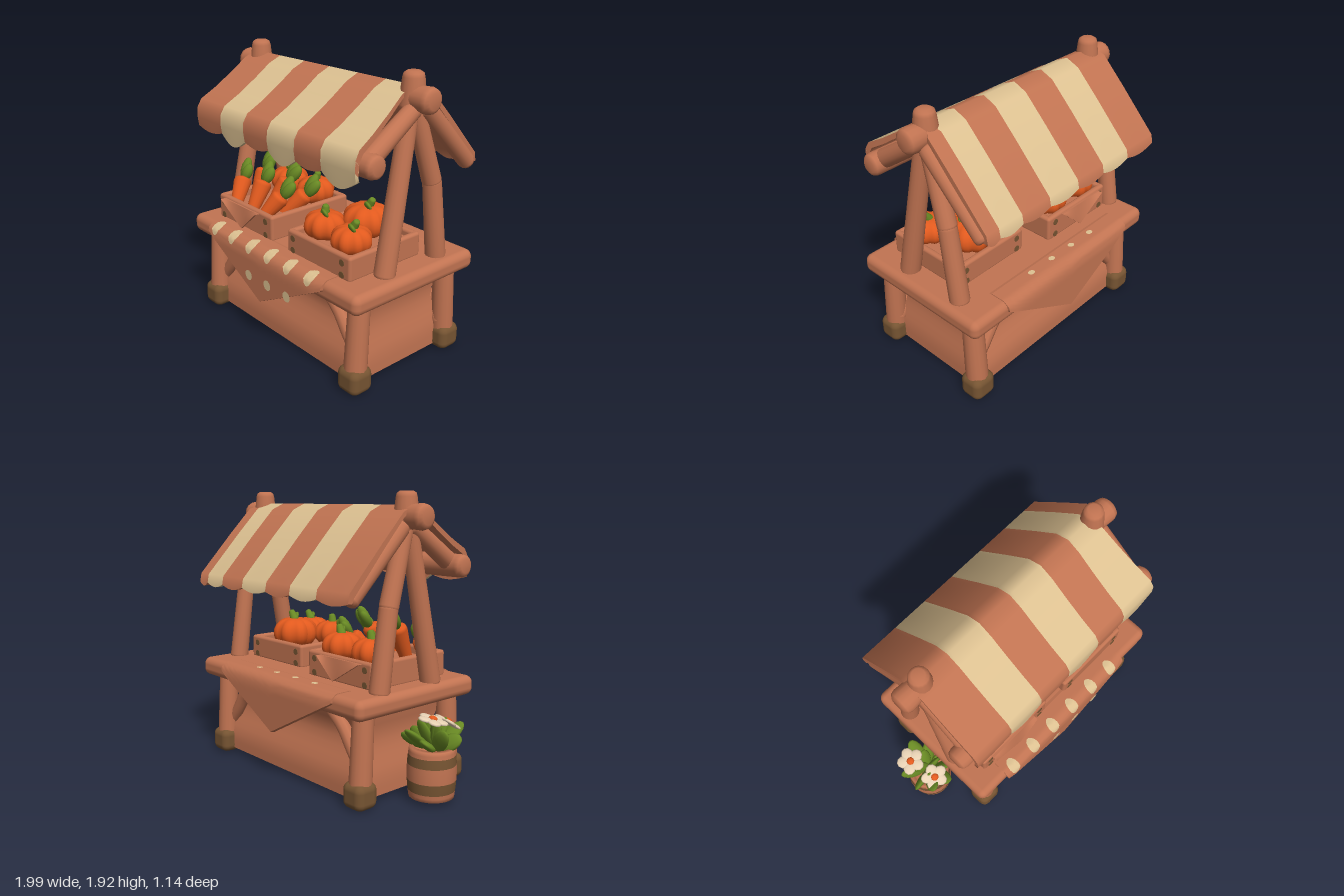
import * as THREE from 'three';
import { RoundedBoxGeometry } from 'three/addons/geometries/RoundedBoxGeometry.js';

const V = (p) => new THREE.Vector3(...p);
const UP = new THREE.Vector3(0, 1, 0);
const { lerp, smoothstep, clamp } = THREE.MathUtils;

export function createModel() {
  const root = new THREE.Group();
  const material = (name, color) => {
    const m = new THREE.MeshStandardMaterial({ color, side: THREE.DoubleSide });
    m.name = name;
    return m;
  };
  const wood = material('terracotta', 0xc27452);
  const cream = material('cream', 0xdec292);
  const petalMat = material('petal', 0xe8d2b4);
  const orange = material('orange', 0xe25a1e);
  const green = material('green', 0x698a24);
  const brown = material('brown', 0x765432);

  const add = (name, geo, mat, pos = [0, 0, 0], parent = root) => {
    const m = new THREE.Mesh(geo, mat);
    m.name = name;
    m.position.set(...pos);
    parent.add(m);
    return m;
  };
  const box = (name, mat, min, max, r = 0.02) => add(name,
    new RoundedBoxGeometry(max[0] - min[0], max[1] - min[1], max[2] - min[2], 3, r), mat,
    min.map((v, i) => (v + max[i]) / 2));

  // straight round timber with softened ends
  const limb = (name, mat, a, b, r0, r1 = r0) => {
    const h = V(a).distanceTo(V(b));
    const pts = [[0, 0], [r0 * 0.6, 0], [r0 * 0.9, r0 * 0.2], [r0, r0 * 0.55], [r1, h - r1 * 0.55],
      [r1 * 0.9, h - r1 * 0.2], [r1 * 0.6, h], [0, h]].map((p) => new THREE.Vector2(...p));
    const m = add(name, new THREE.LatheGeometry(pts, 16), mat, a);
    m.quaternion.setFromUnitVectors(UP, V(b).sub(V(a)).normalize());
    return m;
  };

  // open surface from a rule fn(u, v) -> [x, y, z]
  const sheet = (name, mat, nu, nv, fn) => {
    const pos = [], idx = [];
    for (let j = 0; j <= nv; j++) for (let i = 0; i <= nu; i++) pos.push(...fn(i / nu, j / nv));
    for (let j = 0; j < nv; j++) for (let i = 0; i < nu; i++) {
      const a = j * (nu + 1) + i, c = a + nu + 1;
      idx.push(a, c, a + 1, a + 1, c, c + 1);
    }
    const g = new THREE.BufferGeometry();
    g.setAttribute('position', new THREE.Float32BufferAttribute(pos, 3));
    g.setIndex(idx);
    g.computeVertexNormals();
    return add(name, g, mat);
  };

  // thick cloth: outer face, inner face and a rim joining them; fn(u, v, depth 0..1)
  const shell = (name, mat, innerMat, n, fn) => {
    sheet(name, mat, n, n, (u, v) => fn(u, v, 0));
    sheet(name + 'Lining', innerMat, n, n, (u, v) => fn(1 - u, v, 1));
    sheet(name + 'Rim', mat, 4 * n, 1, (t, d) => {
      const p = t * 4;
      return fn(clamp(p, 0, 1) - clamp(p - 2, 0, 1), clamp(p - 1, 0, 1) - clamp(p - 3, 0, 1), d);
    });
  };

  // base cabinet: leans in above the floor, then flares out under the counter
  const body = new THREE.BoxGeometry(1.46, 0.57, 0.8, 4, 10, 4);
  const bp = body.attributes.position;
  for (let i = 0; i < bp.count; i++) {
    const y = bp.getY(i);
    const t = smoothstep(y, -0.2, 0.08) - 0.7 * smoothstep(y, 0.1, 0.285);
    bp.setX(i, bp.getX(i) * (1 - 0.06 * t));
    bp.setZ(i, bp.getZ(i) * (1 - 0.2 * t));
  }
  body.computeVertexNormals();
  add('cabinet', body, wood, [0.125, 0.315, 0]);

  // legs, feet and braces
  for (const x of [-0.61, 0.86]) for (const z of [-0.4, 0.41]) {
    limb('leg', wood, [x, 0.05, z], [x, 0.64, z * 0.93], 0.075, 0.068);
    box('foot', brown, [x - 0.088, 0, z - 0.085], [x + 0.088, 0.17, z + 0.085], 0.05);
    const s = x < 0 ? 1 : -1, zb = z * 0.9;
    const curve = new THREE.CatmullRomCurve3([[x, 0.2, zb], [x + s * 0.1, 0.33, zb], [x + s * 0.2, 0.47, zb], [x + s * 0.36, 0.6, zb]].map(V));
    add('brace', new THREE.TubeGeometry(curve, 12, 0.045, 10), wood);
  }

  // counter
  box('counter', wood, [-0.735, 0.58, -0.525], [0.985, 0.712, 0.53], 0.05);

  // spotted cloth hanging over both long edges, addressed by x and length s along its fall
  const fall = [[0.40, 0.717], [0.505, 0.717], [0.55, 0.685], [0.562, 0.63], [0.564, 0.3]];
  const drape = (x, s, side, lift = 0) => {
    let k = 0, len;
    for (; ; k++) {
      len = Math.hypot(fall[k + 1][0] - fall[k][0], fall[k + 1][1] - fall[k][1]);
      if (s <= len || k === fall.length - 2) break;
      s -= len;
    }
    const t = s / len;
    const z = lerp(fall[k][0], fall[k + 1][0], t) + lift;
    const y = lerp(fall[k][1], fall[k + 1][1], t) + Math.max(lift, -0.008);
    return [x, y, side > 0 ? z : 0.012 - z];
  };
  const spot = (x, s, rx, rs, side) => sheet('clothSpot', cream, 14, 4, (u, v) =>
    drape(x + Math.cos(u * Math.PI * 2) * rx * v, s + Math.sin(u * Math.PI * 2) * rs * v, side, 0.004));
  for (const side of [1, -1]) {
    shell('cloth', wood, wood, 20, (u, v, d) => {
      const bottom = 0.345 + 0.315 * Math.abs(u - 0.5) * 2;
      return drape(-0.5 + 1.2 * u, v * (0.215 + 0.63 - bottom), side, -0.03 * d);
    });
    for (let i = 0; i < 6; i++) {
      const x = -0.42 + i * 0.2;
      if (side > 0) spot(x, 0.128, 0.04, 0.072, 1);
      else if (i > 0 && i < 5) spot(x, 0.04, 0.025, 0.02, -1);
      if (side > 0 && i > 1 && i < 5) spot(x + 0.01, 0.35, 0.036, 0.036, 1);
    }
  }

  // A-frame posts, rafters and beam ends
  for (const [x, top, end] of [[-0.645, -0.62, -0.8], [0.865, 0.83, 1.0]]) {
    limb('frontPost', wood, [x, 0.68, 0.19], [top, 1.8, -0.03], 0.068, 0.055);
    limb('rearPost', wood, [x, 0.68, -0.28], [x, 1.25, -0.2], 0.066, 0.06);
    limb('rearPostTop', wood, [x, 1.2, -0.21], [top, 1.8, -0.02], 0.062, 0.055);
    limb('ridgeKnob', wood, [top, 1.68, -0.035], [top, 1.92, -0.035], 0.085, 0.066);
    limb('frontRafter', wood, [x, 1.72, -0.03], [x, 1.45, 0.37], 0.055, 0.062);
    limb('rearRafter', wood, [x + 0.01, 1.72, -0.08], [x + 0.01, 1.275, -0.525], 0.06, 0.055);
    limb('ridgeBeamEnd', wood, [top * 0.96, 1.765, -0.035], [end, 1.765, -0.035], 0.072, 0.082);
  }
  limb('ridgeBeam', wood, [-0.7, 1.745, -0.035], [0.9, 1.745, -0.035], 0.055);
  limb('frontBeam', wood, [-0.77, 1.45, 0.36], [0.965, 1.45, 0.36], 0.075);

  // striped awning from the back hem over the ridge to the scalloped front hem
  const slope = [[-0.572, 1.285], [-0.56, 1.345], [-0.3, 1.622], [-0.13, 1.795], [-0.035, 1.836], [0.06, 1.795], [0.18, 1.71],
    [0.32, 1.62], [0.44, 1.555], [0.474, 1.5], [0.477, 1.43], [0.468, 1.37]];
  const last = slope.length - 1;
  const rightEdge = (z) => (z < -0.1 ? 0.9 : 0.825 + 0.15 * Math.max(z, 0));
  const creamEdge = (z) => (z < -0.1 ? 0.8 : rightEdge(z));
  const strip = (name, mat, left, right, drop) => shell(name, mat, wood, last, (u, v, d) => {
    const k = Math.round(v * last), [z, y] = slope[k];
    const sag = k === last ? drop : k === 0 ? 0.025 : 0;
    const thick = k === last || k === 0 ? 0 : 0.03;
    return [lerp(left(z), right(z), u), y - sag * Math.sin(Math.PI * u) - thick * d, z * (1 - 0.06 * d)];
  });
  const edges = [-0.69, -0.405, -0.145, 0.105, 0.37, 0.61].map((x) => () => x).concat(creamEdge);
  for (let i = 0; i < 6; i++) {
    strip('awningStripe', i % 2 ? cream : wood, edges[i], edges[i + 1], i % 2 ? 0.065 : 0.025);
  }
  strip('awningRearEdge', wood, creamEdge, rightEdge, 0);

  // crates with corner nails
  const crate = (x0, x1, z0, z1, h) => {
    const y = 0.7, t = 0.045;
    box('crateFloor', wood, [x0 + 0.02, y, z0 + 0.02], [x1 - 0.02, y + 0.12, z1 - 0.02]);
    for (const z of [z0, z1 - t]) box('crateLongWall', wood, [x0, y, z], [x1, h, z + t]);
    for (const x of [x0, x1 - t]) box('crateEndWall', wood, [x, y, z0], [x + t, h, z1]);
    const nail = new THREE.CylinderGeometry(0.022, 0.022, 0.008, 10);
    for (const ny of [0.735, h - 0.05]) for (const nx of [x0 + 0.06, x1 - 0.07]) for (const z of [z0, z1]) {
      add('crateNail', nail, brown, [nx, ny, z]).rotation.x = Math.PI / 2;
    }
  };
  crate(-0.58, 0.035, -0.28, 0.4, 0.88);
  crate(0.21, 0.8, -0.2, 0.41, 0.865);
  for (const side of [1, -1]) {
    shell('crateNapkin', wood, wood, 10, (u, v, d) => [-0.5 + 0.4 * u,
      0.865 - v * 0.145 * (1 - Math.abs(u - 0.6) / (u < 0.6 ? 0.6 : 0.4)),
      (side > 0 ? 0.412 : -0.292) + side * (0.03 * v - 0.015 * d)]);
  }

  // flattened leaf pointing from a to b
  const leaf = (name, a, b, w, flat = 0.45) => {
    const d = V(b).sub(V(a)), m = add(name, new THREE.SphereGeometry(1, 10, 8), green, V(a).addScaledVector(d, 0.5).toArray());
    m.scale.set(w, d.length() / 2, w * flat);
    m.quaternion.setFromUnitVectors(UP, d.normalize());
  };

  // pumpkins: squashed spheres with ribs
  const pumpkin = (x, y, z, r, lean) => {
    const g = new THREE.SphereGeometry(r, 40, 14);
    const p = g.attributes.position;
    for (let i = 0; i < p.count; i++) {
      const a = Math.atan2(p.getZ(i), p.getX(i)), w = Math.hypot(p.getX(i), p.getZ(i)) / r;
      const k = 1 - 0.14 * (1 - Math.abs(Math.sin(a * 4)));
      p.setXYZ(i, p.getX(i) * k, p.getY(i) * (0.6 + 0.18 * w), p.getZ(i) * k);
    }
    g.computeVertexNormals();
    add('pumpkin', g, orange, [x, y, z]);
    const top = y + r * 0.6;
    limb('pumpkinStem', green, [x, top - 0.02, z], [x + lean, top + 0.055, z], 0.032, 0.022);
    leaf('pumpkinLeaf', [x, top, z + 0.01], [x + 0.07, top + 0.02, z + 0.05], 0.035);
  };
  pumpkin(0.36, 0.89, 0.22, 0.14, 0.01);
  pumpkin(0.63, 0.885, 0.24, 0.135, 0.05);
  pumpkin(0.5, 0.905, -0.02, 0.165, 0.05);
  pumpkin(-0.42, 0.91, -0.12, 0.14, 0.02);
  pumpkin(-0.13, 0.91, -0.12, 0.14, 0.03);

  // carrots leaning back in the crate: bottom x, top x, top y, top z
  for (const [x0, x1, y, z] of [[-0.46, -0.53, 0.97, 0.22], [-0.38, -0.4, 1.05, 0.12], [-0.3, -0.31, 1.0, 0.2],
    [-0.24, -0.16, 1.03, 0.1], [-0.17, -0.08, 0.96, 0.22], [-0.14, -0.03, 0.95, 0.05]]) {
    limb('carrot', orange, [x0, 0.78, z + 0.13], [x1, y, z], 0.04, 0.064);
    for (const s of [-1, 0, 1]) {
      leaf('carrotTop', [x1, y - 0.02, z], [x1 + s * 0.06 + (x1 - x0) * 0.3, y + 0.13 - Math.abs(s) * 0.03, z - 0.07 + s * 0.03], 0.042, 0.85);
    }
  }

  // banded barrel pot
  const potX = -0.81, potZ = 0.03;
  const potR = (y) => 0.145 + 0.013 * Math.sin(Math.PI * (y - 0.03) / 0.32);
  const bands = [0.03, 0.075, 0.145, 0.245, 0.305, 0.35];
  for (let i = 0; i < 5; i++) {
    const pts = [0, 0.5, 1].map((t) => lerp(bands[i], bands[i + 1], t)).map((y) => new THREE.Vector2(potR(y), y));
    if (i === 0) pts.unshift(new THREE.Vector2(0, 0.025), new THREE.Vector2(0.13, 0.025));
    if (i === 4) pts.push(new THREE.Vector2(0.12, 0.355), new THREE.Vector2(0.11, 0.32), new THREE.Vector2(0, 0.32));
    add(i % 2 ? 'potBand' : 'pot', new THREE.LatheGeometry(pts, 24), i % 2 ? brown : wood, [potX, 0, potZ]);
  }

  // pot plant
  for (let i = 0; i < 9; i++) {
    const a = i * Math.PI * 2 / 9, c = Math.cos(a), s = Math.sin(a);
    leaf('plantLeaf', [potX + c * 0.03, 0.34, potZ + s * 0.03],
      [potX + c * 0.185, 0.43 + 0.06 * (i % 2), potZ + s * 0.21], 0.055);
  }
  for (let i = 0; i < 4; i++) {
    const a = i * Math.PI / 2 + 0.5;
    leaf('plantLeaf', [potX, 0.34, potZ], [potX + Math.cos(a) * 0.09, 0.53, potZ + Math.sin(a) * 0.09], 0.048);
  }

  // five-petal flowers
  const flower = (pos, dir) => {
    const f = new THREE.Group();
    f.name = 'flower';
    f.position.set(...pos);
    f.quaternion.setFromUnitVectors(UP, V(dir).normalize());
    root.add(f);
    for (let i = 0; i < 5; i++) {
      const a = i * Math.PI * 2 / 5;
      const m = add('petal', new THREE.SphereGeometry(1, 10, 6), petalMat, [Math.cos(a) * 0.05, 0, Math.sin(a) * 0.05], f);
      m.scale.set(0.05, 0.014, 0.044);
      m.rotation.y = -a;
    }
    add('flowerCentre', new THREE.SphereGeometry(0.028, 10, 8), orange, [0, 0.01, 0], f).scale.y = 0.6;
    limb('flowerStem', green, [potX, 0.34, potZ], pos, 0.012);
  };
  flower([-0.88, 0.55, -0.05], [-0.2, 1, 0.15]);
  flower([-0.835, 0.49, 0.14], [-0.15, 0.85, 0.55]);

  return root;
}
